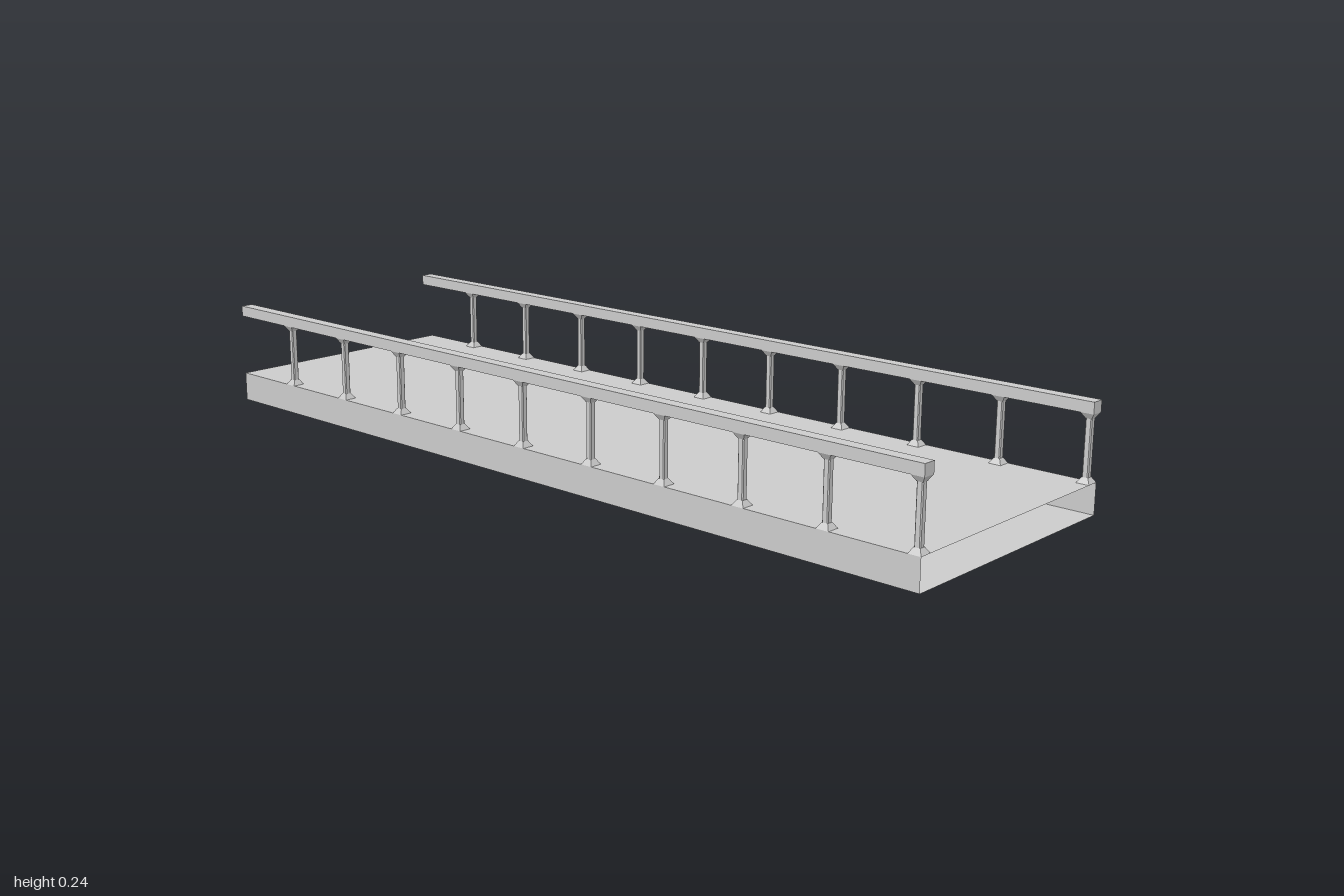
import * as THREE from 'three';

const material = new THREE.MeshStandardMaterial({ color: 0xcccccc, flatShading: true, side: THREE.DoubleSide });

const DECK_TOP = 0.068, RAIL_BOTTOM = 0.212, RAIL_TOP = 0.237;
const RAIL_X = 0.29, RAIL_WIDTH = 0.029, SHAFT_WIDTH = 0.014;
const POSTS = 10, SPACING = 0.2;

function addMesh(parent, name, geometry, x = 0, y = 0, z = 0) {
  const mesh = new THREE.Mesh(geometry, material);
  mesh.name = name;
  mesh.position.set(x, y, z);
  parent.add(mesh);
  return mesh;
}

// Box along z keeping only its first faces (order: +x, -x, +y, -y, +z, -z)
function openBox(w, h, d, faces) {
  const geometry = new THREE.BoxGeometry(w, h, d);
  geometry.setIndex(Array.from(geometry.index.array).slice(0, faces * 6));
  geometry.clearGroups();
  return geometry;
}

// Square tapered block without caps
function flare(topWidth, bottomWidth, height) {
  const geometry = new THREE.CylinderGeometry(topWidth * Math.SQRT1_2, bottomWidth * Math.SQRT1_2, height, 4, 1, true);
  return geometry.rotateY(Math.PI / 4);
}

// Upright square shaft with narrow chamfered corners
function chamferedShaft(width, height) {
  const h = width / 2, c = h * 0.7;
  const outline = [[h, -c], [h, c], [c, h], [-c, h], [-h, c], [-h, -c], [-c, -h], [c, -h]];
  const shape = new THREE.Shape(outline.map(([x, y]) => new THREE.Vector2(x, y)));
  return new THREE.ExtrudeGeometry(shape, { depth: height, bevelEnabled: false })
    .rotateX(-Math.PI / 2).translate(0, -height / 2, 0);
}

export function createModel() {
  const model = new THREE.Group();
  model.name = 'footbridge';

  // Hollow deck, open at both ends
  addMesh(model, 'deck', openBox(0.608, DECK_TOP, 2, 4), 0, DECK_TOP / 2, 0);

  const flareHeight = 0.012;
  const footGeometry = flare(SHAFT_WIDTH, RAIL_WIDTH, flareHeight);
  const capitalGeometry = flare(RAIL_WIDTH, SHAFT_WIDTH, flareHeight);
  const shaftHeight = RAIL_BOTTOM - DECK_TOP - 2 * flareHeight;
  const shaftGeometry = chamferedShaft(SHAFT_WIDTH, shaftHeight);
  const railHeight = RAIL_TOP - RAIL_BOTTOM;
  const railGeometry = openBox(RAIL_WIDTH, railHeight, 2, 5);

  for (const side of [1, -1]) {
    const railing = new THREE.Group();
    railing.name = side > 0 ? 'leftRailing' : 'rightRailing';
    railing.position.x = side * RAIL_X;
    model.add(railing);

    // Handrail, closed at the front and open at the back
    addMesh(railing, 'handrail', railGeometry, 0, RAIL_BOTTOM + railHeight / 2, 0);

    // Posts with flared feet and capitals, starting at the front end
    for (let i = 0; i < POSTS; i++) {
      const post = new THREE.Group();
      post.name = 'post';
      post.position.z = 1 - RAIL_WIDTH / 2 - i * SPACING;
      railing.add(post);
      addMesh(post, 'foot', footGeometry, 0, DECK_TOP + flareHeight / 2);
      addMesh(post, 'shaft', shaftGeometry, 0, (DECK_TOP + RAIL_BOTTOM) / 2);
      addMesh(post, 'capital', capitalGeometry, 0, RAIL_BOTTOM - flareHeight / 2);
    }
  }
  return model;
}
